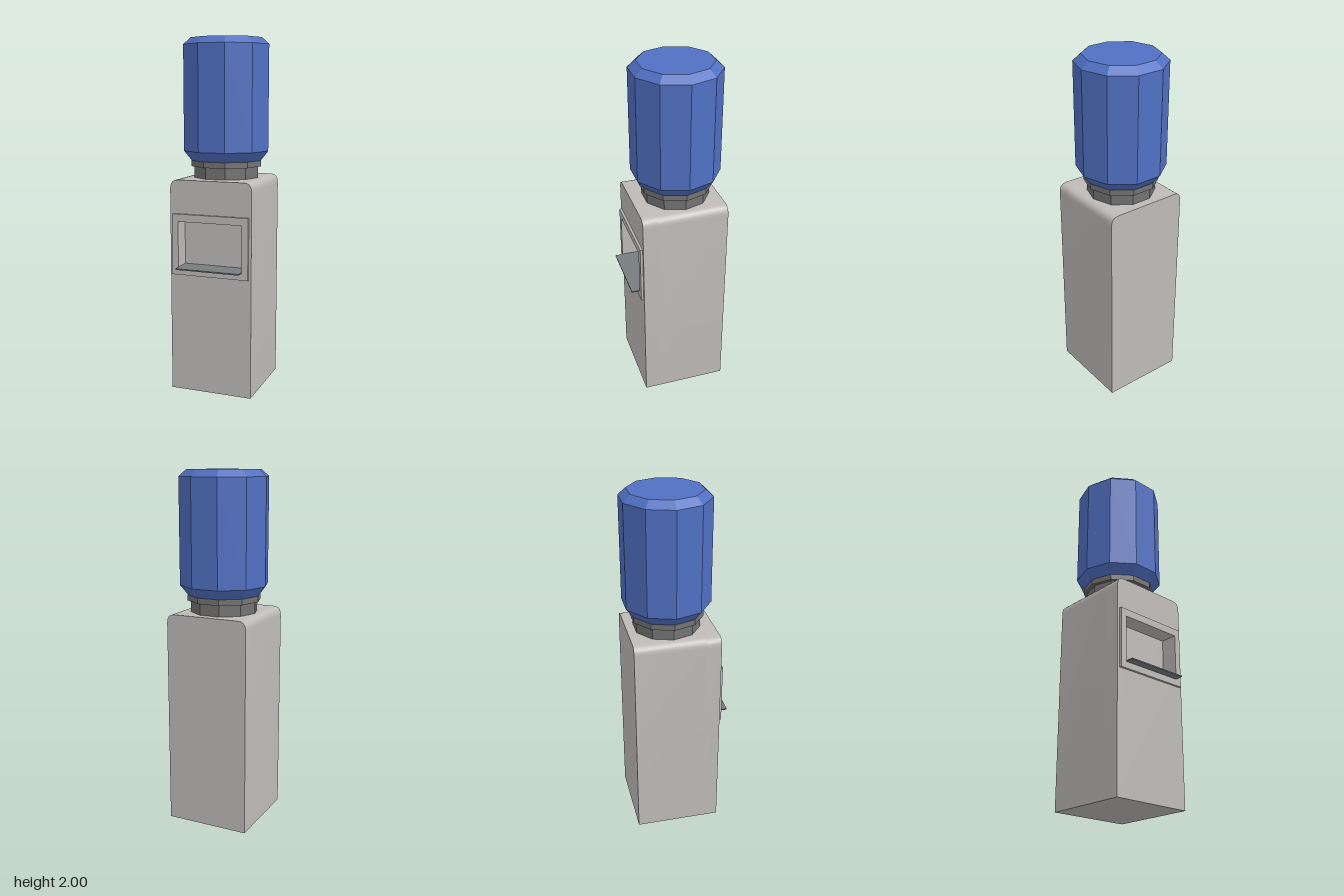
import * as THREE from 'three';
import { toCreasedNormals } from 'three/addons/utils/BufferGeometryUtils.js';

const material = (name, color) => {
  const m = new THREE.MeshStandardMaterial({ color });
  m.name = name;
  return m;
};

// Rectangle outline from its edges, usable as shape or hole
function rect(Type, x, y0, y1) {
  const p = new Type();
  p.moveTo(-x, y0);
  p.lineTo(x, y0);
  p.lineTo(x, y1);
  p.lineTo(-x, y1);
  p.closePath();
  return p;
}

// Cabinet outline with rounded upper corners
function cabinetShape() {
  const w = 0.24, h = 1.22, rx = 0.045, ry = 0.05;
  const s = new THREE.Shape();
  s.moveTo(-w, 0);
  s.lineTo(w, 0);
  s.lineTo(w, h - ry);
  s.quadraticCurveTo(w, h, w - rx, h);
  s.lineTo(-w + rx, h);
  s.quadraticCurveTo(-w, h, -w, h - ry);
  s.closePath();
  return s;
}

// Extrude a shape between two depths, keeping hard edges sharp
function slab(shape, z0, z1) {
  const g = new THREE.ExtrudeGeometry(shape, { depth: z1 - z0, bevelEnabled: false, curveSegments: 5 });
  g.translate(0, 0, z0);
  return toCreasedNormals(g, 0.6);
}

// Faceted ten-sided solid of revolution with a corner on the x axis
function faceted(profile) {
  const points = profile.map(([r, y]) => new THREE.Vector2(r, y));
  const g = new THREE.LatheGeometry(points, 10, Math.PI / 2).toNonIndexed();
  g.computeVertexNormals();
  g.translate(0, 0, -0.04);
  return g;
}

export function createModel() {
  const model = new THREE.Group();
  model.name = 'waterDispenser';

  const casing = material('warm grey casing', 0xbebbb8);
  const collarGrey = material('dark grey collar', 0x737373);
  const trayGrey = material('slate tray', 0x777d80);
  const blue = material('blue bottle', 0x5070c2);

  const add = (name, geometry, mat) => {
    const mesh = new THREE.Mesh(geometry, mat);
    mesh.name = name;
    model.add(mesh);
  };

  // Cabinet: solid rear and a front section pierced by the dispensing recess
  const recess = [0.188, 0.72, 0.987];
  const zBack = -0.27, zRecess = 0.134, zFront = 0.218, zFrame = 0.232;
  add('cabinetRear', slab(cabinetShape(), zBack, zRecess), casing);
  const front = cabinetShape();
  front.holes.push(rect(THREE.Path, ...recess));
  add('cabinetFront', slab(front, zRecess, zFront), casing);

  // Raised frame around the recess
  const frame = rect(THREE.Shape, 0.225, 0.683, 1.03);
  frame.holes.push(rect(THREE.Path, ...recess));
  add('recessFrame', slab(frame, zFront, zFrame), casing);

  // Thin drip tray lying on the recess floor and reaching out in front
  const tray = new THREE.BoxGeometry(0.374, 0.007, 0.143);
  tray.translate(0, 0.7245, 0.2055);
  add('dripTray', tray, trayGrey);

  // Neck and wider collar holding the bottle
  add('neck', faceted([[0, 1.215], [0.19, 1.215], [0.19, 1.285], [0, 1.285]]), collarGrey);
  add('collar', faceted([[0, 1.285], [0.208, 1.285], [0.208, 1.318], [0, 1.318]]), collarGrey);

  // Upturned bottle with bevelled ends
  add('bottle', faceted([[0, 1.317], [0.205, 1.317], [0.25, 1.373], [0.25, 1.962], [0.207, 2], [0, 2]]), blue);

  return model;
}
